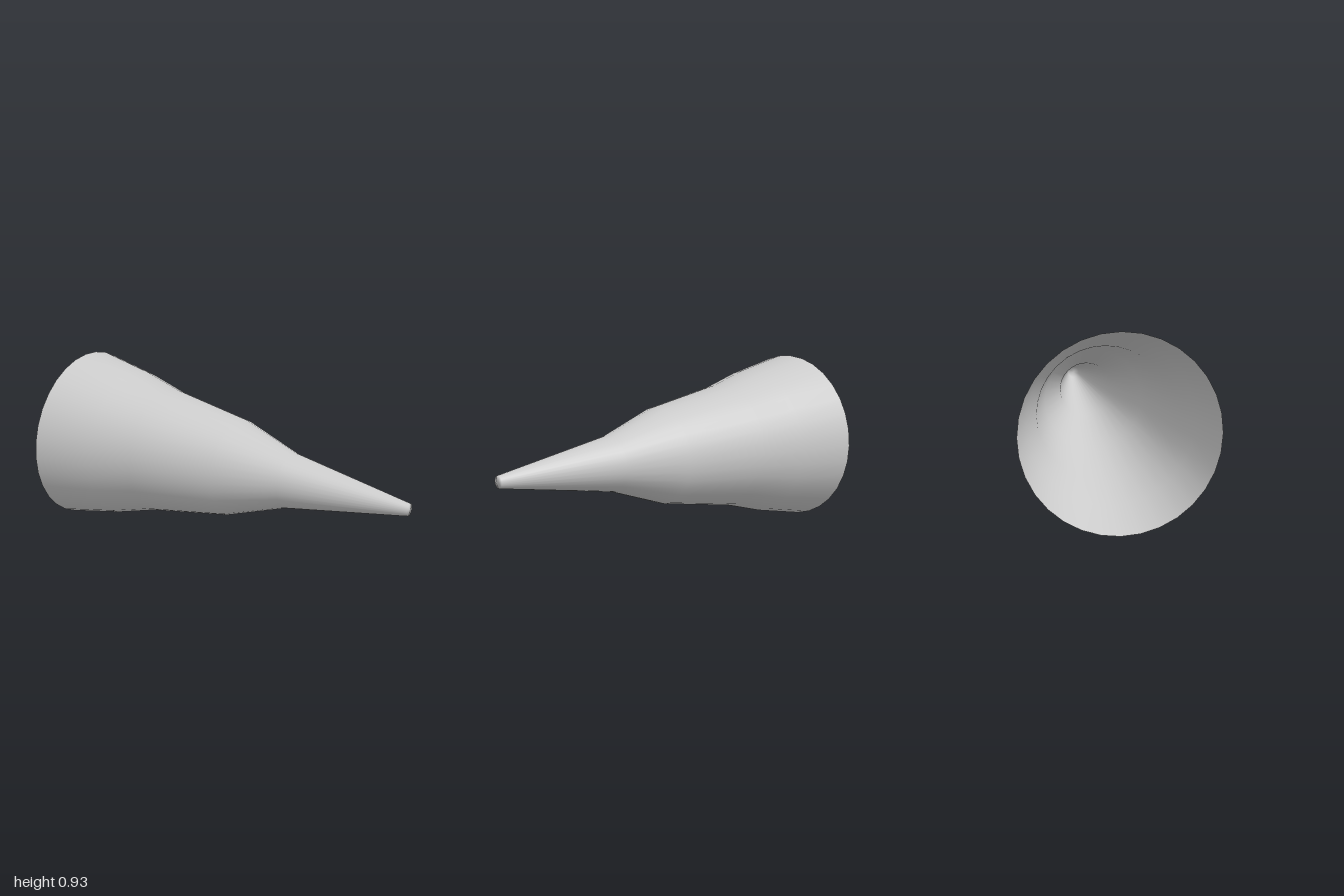
import * as THREE from 'three';

export function createModel() {
  const group = new THREE.Group();
  const baseRadius = 0.467;

  // Profile as [radius, position along the axis], open base to closed tip
  const profile = [
    [baseRadius, -1], [0.404, -0.69], [0.339, -0.46], [0.26, 0],
    [0.147, 0.33], [0.032, 1], [0, 1],
  ].map(([r, a]) => new THREE.Vector2(r, a));

  // Hollow tapering shell, laid along x with the tip at +x
  const geometry = new THREE.LatheGeometry(profile, 32);
  geometry.rotateZ(-Math.PI / 2);
  const material = new THREE.MeshStandardMaterial({ color: 0xcccccc, side: THREE.DoubleSide });
  const cone = new THREE.Mesh(geometry, material);
  cone.name = 'taperedCone';
  cone.position.y = baseRadius;
  group.add(cone);

  return group;
}
